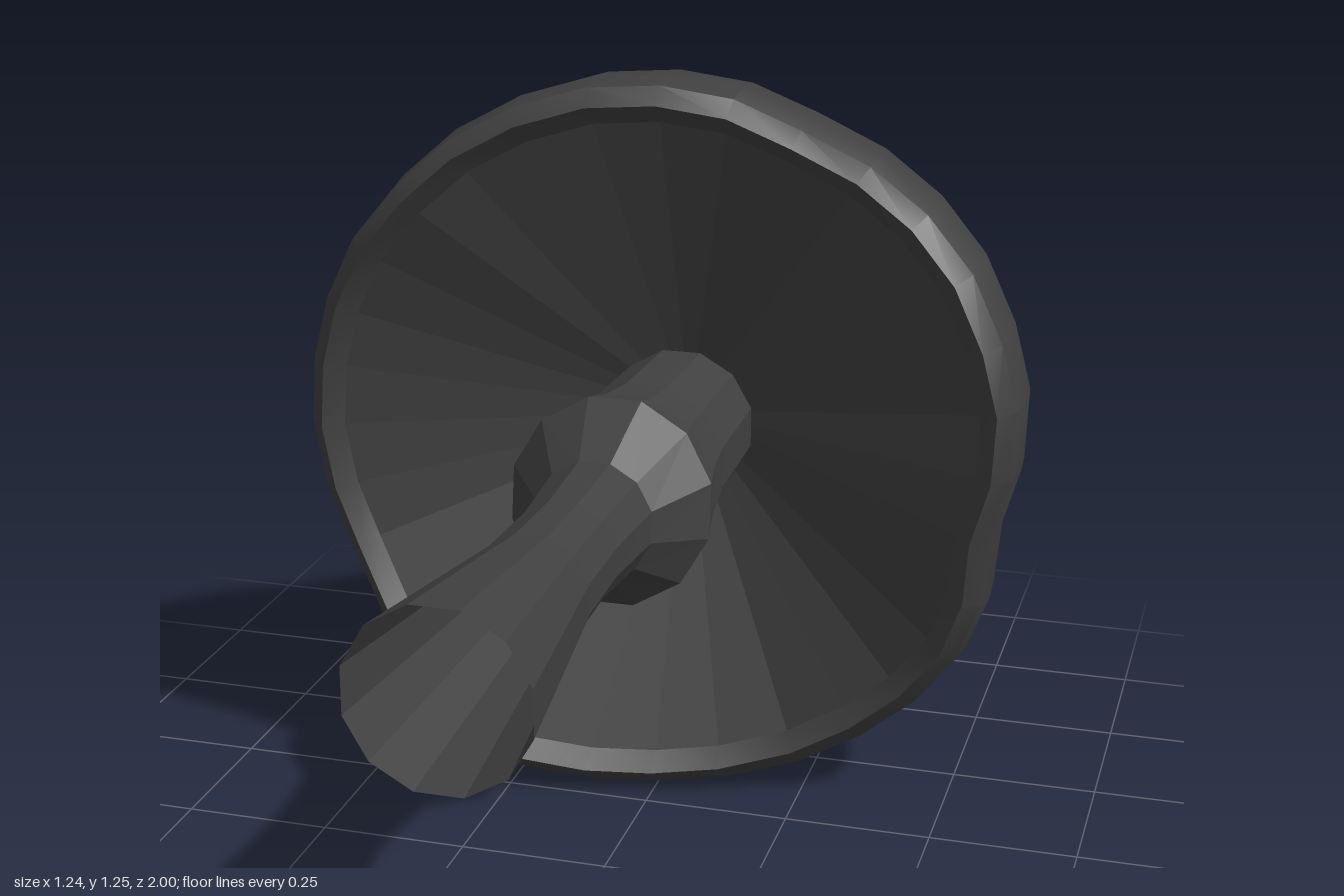
import * as THREE from 'three';
import { mergeVertices, toCreasedNormals } from 'three/addons/utils/BufferGeometryUtils.js';

const CY = 0.635;   // height of the axis, which runs along z
const SEG = 32;     // sides of the cap

// Rim outline, clockwise from the top as seen from the front (x, y)
const OUTLINE = [
  [0, 1.26], [0.12, 1.24], [0.23, 1.19], [0.35, 1.14], [0.45, 1.07], [0.53, 0.98], [0.585, 0.87], [0.615, 0.76],
  [0.61, 0.64], [0.575, 0.52], [0.565, 0.4], [0.525, 0.29], [0.45, 0.19], [0.36, 0.115], [0.25, 0.05], [0.12, 0.015],
  [0, 0.005], [-0.12, 0.01], [-0.25, 0.035], [-0.35, 0.1], [-0.44, 0.19], [-0.5, 0.29], [-0.56, 0.41], [-0.6, 0.52],
  [-0.62, 0.64], [-0.61, 0.76], [-0.58, 0.87], [-0.525, 0.98], [-0.44, 1.08], [-0.35, 1.16], [-0.24, 1.22], [-0.12, 1.255],
];
// Wavy front edge of the rim, one value for every second outline point
const WAVE = [-0.05, -0.09, -0.06, -0.03, -0.02, -0.05, -0.09, -0.09, -0.03, 0.03, 0.02, -0.01, 0, 0.01, 0.03, 0];
const wave = (j) => (WAVE[j >> 1] + WAVE[((j + 1) >> 1) % 16]) / 2;

// Skin a list of closed rings
function loft(rows, sides, point) {
  const pos = [], idx = [];
  rows.forEach((row, i) => {
    for (let j = 0; j < sides; j++) {
      pos.push(...point(row, j));
      if (i + 1 < rows.length) {
        const k = (j + 1) % sides, a = i * sides, b = a + sides;
        idx.push(a + j, a + k, b + j, a + k, b + k, b + j);
      }
    }
  });
  const g = new THREE.BufferGeometry();
  g.setAttribute('position', new THREE.Float32BufferAttribute(pos, 3));
  g.setIndex(idx);
  const merged = mergeVertices(g, 1e-5);
  merged.computeVertexNormals();
  return merged;
}

// Cap ring: r = share of the rim radius, z = depth, w = how far it follows the wavy rim
function capPoint([r, z, w], j) {
  const a = (j / SEG) * Math.PI * 2;
  const [ox, oy] = OUTLINE[j];
  const x = THREE.MathUtils.lerp(Math.sin(a) * 0.62, ox, w);
  const y = THREE.MathUtils.lerp(Math.cos(a) * 0.62, oy - CY, w);
  return [x * r, CY + y * r, z + w * wave(j)];
}

export function createModel() {
  const group = new THREE.Group();
  const material = (flatShading) => new THREE.MeshStandardMaterial({
    color: 0x404040, side: THREE.DoubleSide, flatShading,
  });
  const add = (name, geometry, flat) => {
    const mesh = new THREE.Mesh(geometry, material(flat));
    mesh.name = name;
    group.add(mesh);
  };

  // Bell-shaped cap from the rolled lip back to the tip
  const cap = [
    [0.89, -0.03, 1], [0.94, 0, 1], [0.985, -0.03, 1], [1, -0.09, 1], [0.99, -0.165, 0.9],
    [0.94, -0.26, 0.7], [0.825, -0.36, 0.5], [0.655, -0.46, 0.35], [0.51, -0.575, 0.2], [0.38, -0.73, 0.1],
    [0.28, -0.86, 0], [0.17, -0.95, 0], [0.08, -0.988, 0], [0, -1, 0],
  ];
  add('cap', toCreasedNormals(loft(cap, SEG, capPoint), 0.6), false);

  // Hollow underside, a shallow cone
  add('gills', loft([[0, -0.28, 0], [0.89, -0.03, 1]], SEG, capPoint), true);

  // Open hollow stem with a slightly tilted ring bulge: z, radius, tilt
  const stem = [
    [1, 0.14, 0], [0.6, 0.092, 0], [0.45, 0.088, 0], [0.3, 0.098, 0.1], [0.205, 0.17, 0.15],
    [0.11, 0.15, 0.05], [0, 0.136, 0], [-0.22, 0.13, 0],
  ];
  add('stem', loft(stem, 12, ([z, r, tilt], j) => {
    const a = ((j + 0.5) / 12) * Math.PI * 2;
    const y = Math.cos(a) * r;
    return [Math.sin(a) * r, CY + y, z - tilt * y];
  }), true);

  return group;
}
